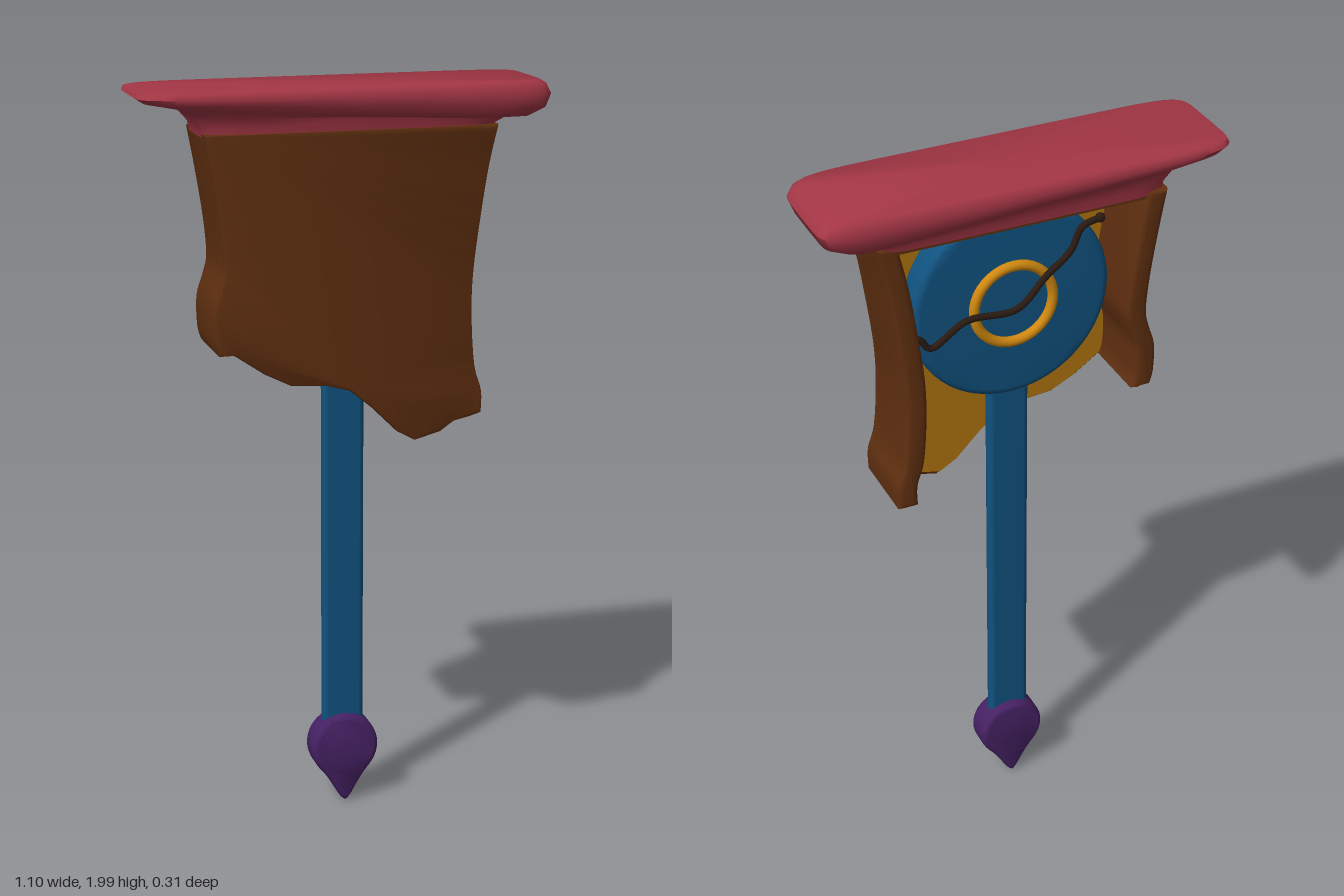
import * as THREE from 'three';
import { toCreasedNormals } from 'three/addons/utils/BufferGeometryUtils.js';
import { RoundedBoxGeometry } from 'three/addons/geometries/RoundedBoxGeometry.js';

const material = (name, color) => {
  const m = new THREE.MeshStandardMaterial({ color });
  m.name = name;
  return m;
};

export function createModel() {
  const group = new THREE.Group();
  const red = material('roof red', 0xa33645);
  const wood = material('brown wood', 0x5f2f10);
  const amber = material('amber lining', 0xb0740e);
  const gold = material('orange gold', 0xd08810);
  const blue = material('blue', 0x10527f);
  const purple = material('purple', 0x452163);
  const dark = material('dark cord', 0x2a1a12);

  const add = (name, geometry, mat, x = 0, y = 0, z = 0) => {
    const mesh = new THREE.Mesh(geometry, mat);
    mesh.name = name;
    mesh.position.set(x, y, z);
    group.add(mesh);
    return mesh;
  };
  const vectors = (pts) => pts.map(([x, y]) => new THREE.Vector2(x, y));
  const smooth = (pts, n = 28) => new THREE.SplineCurve(vectors(pts)).getPoints(n);
  // Extrusion filling exactly z0..z1, with its bevel kept inside the outline
  const slab = (shape, z0, z1, bevel, steps = 2) => toCreasedNormals(
    new THREE.ExtrudeGeometry(shape, {
      depth: z1 - z0 - 2 * bevel, curveSegments: 40, bevelEnabled: bevel > 0,
      bevelThickness: bevel, bevelSize: bevel, bevelOffset: -bevel, bevelSegments: steps,
    }).translate(0, 0, z0 + bevel), 0.7);

  // Carved outlines of the housing, listed from top to bottom
  const rightEdge = smooth([[-0.38, 1.89], [-0.36, 1.78], [-0.34, 1.65], [-0.332, 1.55],
    [-0.342, 1.5], [-0.36, 1.44], [-0.36, 1.36], [-0.35, 1.32]]);
  const leftEdge = smooth([[0.4, 1.89], [0.375, 1.78], [0.355, 1.65], [0.337, 1.5],
    [0.335, 1.38], [0.345, 1.25], [0.365, 1.18], [0.365, 1.12]]);
  const bottomEdge = vectors([[-0.31, 1.32], [-0.23, 1.265], [-0.16, 1.23], [-0.06, 1.222],
    [0, 1.205], [0.06, 1.155], [0.13, 1.085], [0.18, 1.057], [0.25, 1.075], [0.29, 1.102], [0.33, 1.11]]);
  const outline = new THREE.Shape([...rightEdge, ...bottomEdge, ...leftEdge.slice().reverse()]);

  // Front panel and the lining behind it
  add('frontPanel', slab(outline, 0.088, 0.118, 0.008), wood);
  const lining = slab(outline, 0.08, 0.087, 0).translate(0, -1.5, 0).scale(0.97, 0.98, 1);
  add('panelLining', lining, amber, 0, 1.505);

  // Side walls follow the panel edges
  const wall = (name, edge, inward, back) => {
    const inner = edge.map((p) => new THREE.Vector2(p.x + inward, p.y)).reverse();
    add(name, slab(new THREE.Shape([...edge, ...inner]), back, 0.112, 0.012, 3), wood);
  };
  wall('rightWall', rightEdge, 0.055, -0.115);
  wall('leftWall', leftEdge, -0.055, -0.105);

  // Ceiling, sloping down towards the front panel
  const ceiling = new THREE.Shape(vectors([[0.1, 1.89], [-0.105, 1.89], [-0.105, 1.87], [0.02, 1.86], [0.085, 1.81], [0.1, 1.81]]));
  const ceilingGeometry = new THREE.ExtrudeGeometry(ceiling, { depth: 0.7, bevelEnabled: false });
  ceilingGeometry.translate(0, 0, -0.35).rotateY(-Math.PI / 2);
  add('ceiling', ceilingGeometry, wood, 0.01);

  // Roof: rounded rectangles lofted upwards [xMin, xMax, yAtMin, yAtMax, halfDepth]
  const rings = [
    [-0.38, 0.4, 1.88, 1.88, 0.112], [-0.385, 0.405, 1.905, 1.892, 0.114],
    [-0.415, 0.43, 1.94, 1.905, 0.12], [-0.45, 0.49, 1.957, 1.908, 0.14],
    [-0.53, 0.533, 1.973, 1.93, 0.154], [-0.55, 0.547, 1.986, 1.965, 0.157],
    [-0.545, 0.535, 1.997, 1.99, 0.151], [-0.53, 0.52, 2, 2, 0.142],
  ];
  const N = 64, pos = [], index = [];
  const squarish = (v) => Math.sign(v) * Math.abs(v) ** 0.25;
  for (const [x0, x1, y0, y1, h] of rings) {
    for (let i = 0; i < N; i++) {
      const a = (i / N) * Math.PI * 2;
      const t = squarish(Math.cos(a)) / 2 + 0.5;
      pos.push(x0 + (x1 - x0) * t, y0 + (y1 - y0) * t, h * squarish(Math.sin(a)));
    }
  }
  const top = (rings.length - 1) * N, centre = rings.length * N;
  pos.push(0, 1.88, 0, 0, 2, 0);
  for (let i = 0; i < N; i++) {
    const j = (i + 1) % N;
    for (let r = 0; r < top; r += N) {
      index.push(r + i, r + N + i, r + j, r + j, r + N + i, r + N + j);
    }
    index.push(centre, i, j, centre + 1, top + j, top + i);
  }
  const roof = new THREE.BufferGeometry();
  roof.setAttribute('position', new THREE.Float32BufferAttribute(pos, 3));
  roof.setIndex(index);
  add('roof', toCreasedNormals(roof, 0.8), red);

  // Pendulum disc and rod
  const disc = new THREE.Shape().absarc(0, 0, 0.275, 0, Math.PI * 2);
  add('disc', slab(disc, -0.01, 0.079, 0.02, 4), blue, 0, 1.6);
  add('rod', new RoundedBoxGeometry(0.116, 1.3, 0.036, 4, 0.016), blue, 0.005, 0.87, 0.02);

  // Ring and wavy cord on the back of the disc
  add('ring', new THREE.TorusGeometry(0.11, 0.014, 12, 40), gold, 0, 1.6, -0.015);
  const cord = new THREE.CatmullRomCurve3([[0.3, 1.58], [0.27, 1.575], [0.24, 1.54], [0.14, 1.595],
    [0, 1.595], [-0.08, 1.67], [-0.15, 1.73], [-0.18, 1.79], [-0.23, 1.805]]
    .map(([x, y]) => new THREE.Vector3(x, y, -0.035)));
  add('cord', new THREE.TubeGeometry(cord, 60, 0.009, 8), dark);
  for (const p of [cord.getPoint(0), cord.getPoint(1)]) {
    add('cordEnd', new THREE.SphereGeometry(0.013, 12, 8), dark, p.x, p.y, p.z);
  }

  // Drop-shaped tip of the rod
  const drop = new THREE.Shape();
  drop.moveTo(0, 0.008);
  drop.bezierCurveTo(0.018, 0.012, 0.03, 0.06, 0.07, 0.105);
  drop.bezierCurveTo(0.125, 0.17, 0.08, 0.262, 0, 0.262);
  drop.bezierCurveTo(-0.08, 0.262, -0.125, 0.17, -0.07, 0.105);
  drop.bezierCurveTo(-0.03, 0.06, -0.018, 0.012, 0, 0.008);
  const tip = new THREE.ExtrudeGeometry(drop, {
    depth: 0.046, curveSegments: 16, bevelThickness: 0.02, bevelSize: 0.014, bevelOffset: -0.014, bevelSegments: 5,
  }).translate(0, 0, -0.002);
  add('dropTip', toCreasedNormals(tip, 1), purple, 0.005);

  return group;
}
